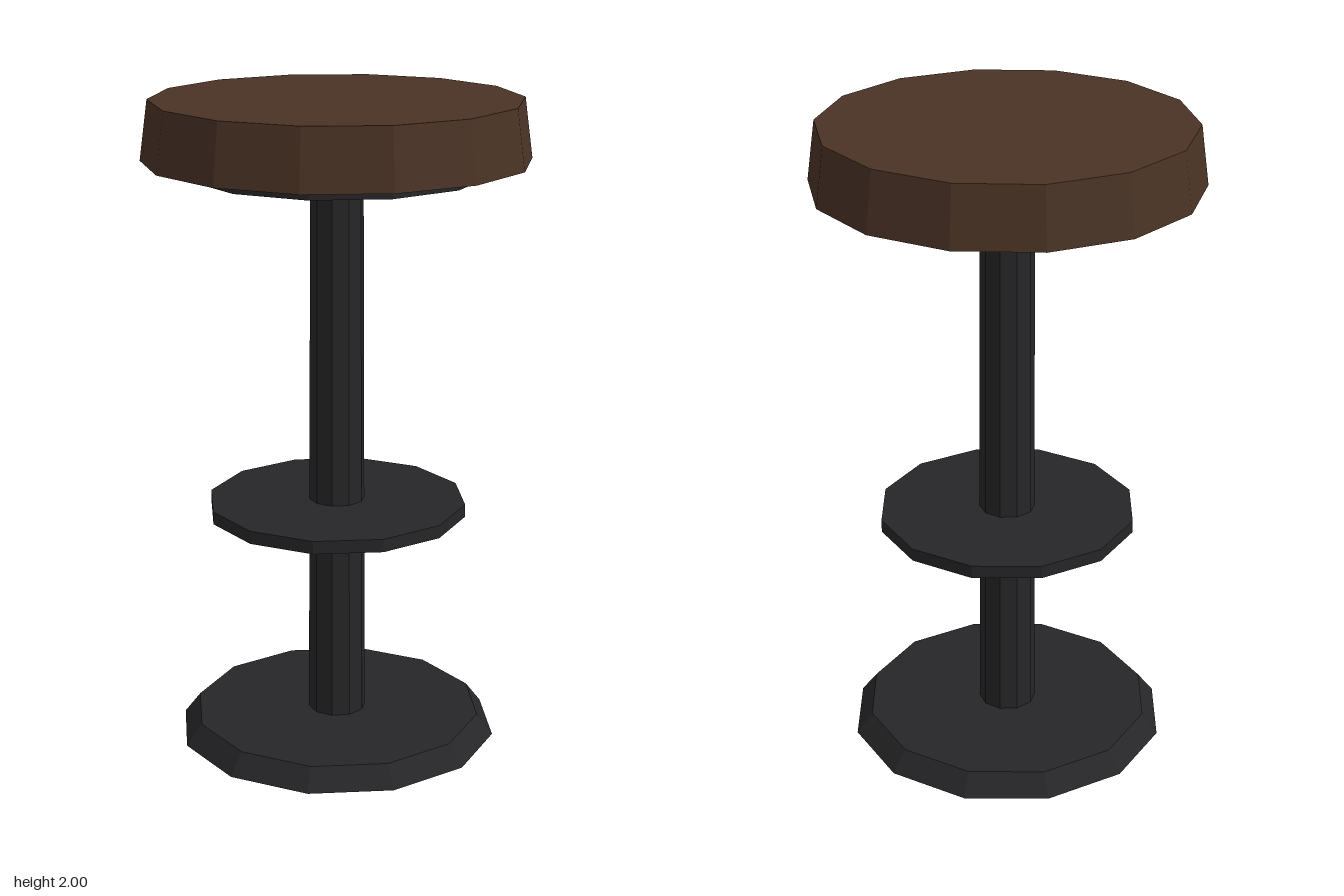
import * as THREE from 'three';

export function createModel() {
  const stool = new THREE.Group();
  stool.name = 'barStool';

  const metal = new THREE.MeshStandardMaterial({ color: 0x262628, flatShading: true });
  const wood = new THREE.MeshStandardMaterial({ color: 0x4a3325, flatShading: true });

  // Faceted disc or post standing between two heights
  function addRound(name, material, topRadius, bottomRadius, y0, y1, sides) {
    const geometry = new THREE.CylinderGeometry(topRadius, bottomRadius, y1 - y0, sides);
    const mesh = new THREE.Mesh(geometry, material);
    mesh.name = name;
    mesh.position.y = (y0 + y1) / 2;
    stool.add(mesh);
  }

  // Bevelled floor plate and tapered post
  addRound('base', metal, 0.45, 0.5, 0, 0.065, 12);
  addRound('post', metal, 0.08, 0.09, 0.065, 1.78, 10);

  // Disc for the feet
  addRound('footrest', metal, 0.4, 0.4, 0.725, 0.765, 12);

  // Support plate and wooden seat
  addRound('seatPlate', metal, 0.45, 0.45, 1.78, 1.82, 12);
  addRound('seat', wood, 0.555, 0.58, 1.82, 2, 14);

  return stool;
}
